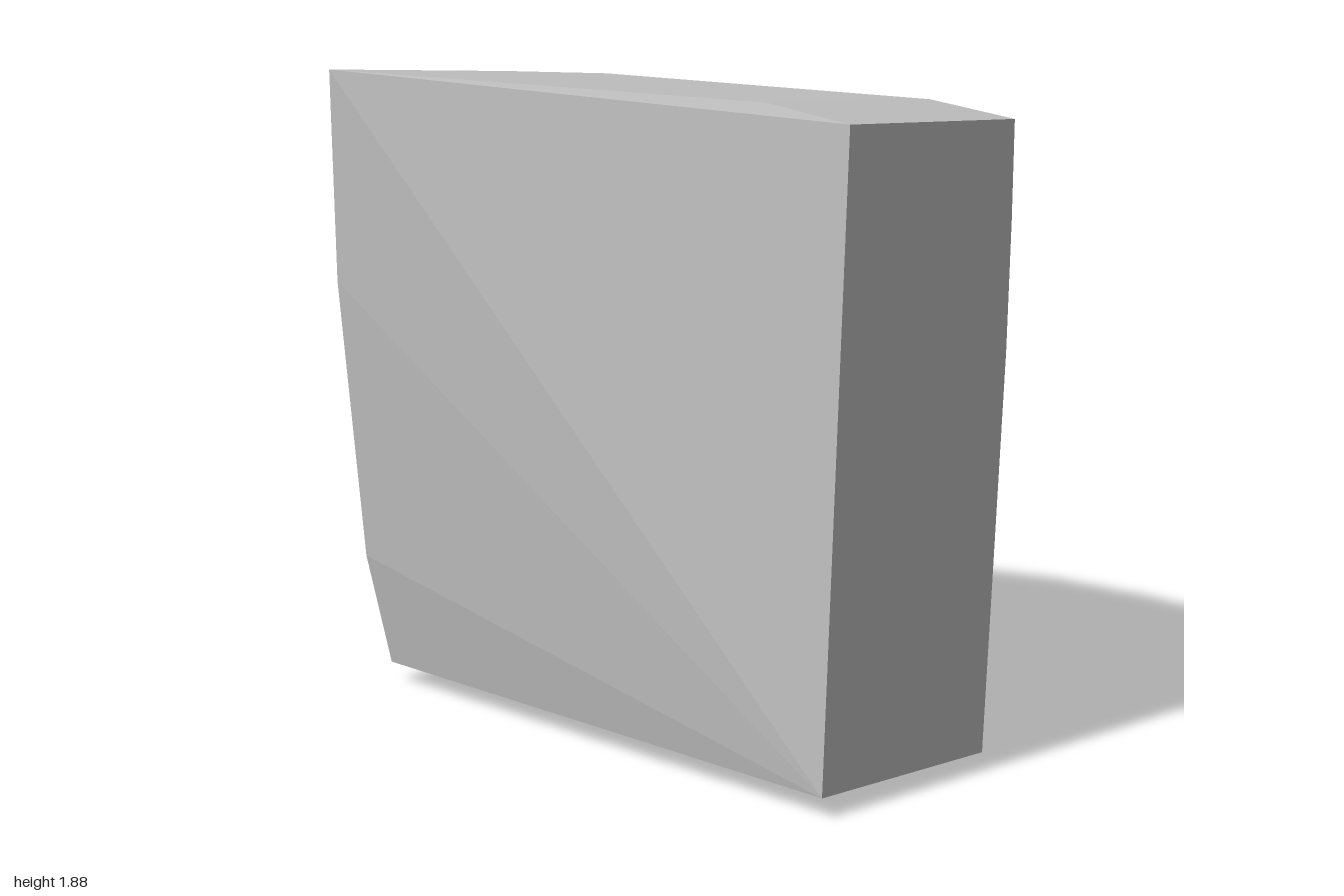
import * as THREE from 'three';
import { ConvexGeometry } from 'three/addons/geometries/ConvexGeometry.js';

export function createModel() {
  const group = new THREE.Group();
  group.name = 'stoneBlock';
  const stone = new THREE.MeshStandardMaterial({ color: 0xc0c0c0 });
  stone.name = 'stone grey';

  const v = (x, y, z) => new THREE.Vector3(x, y, z);

  // Left side: a bent front edge, repeated across the block's depth
  const depth = v(0.38, -0.06, -0.65);
  const leftFront = [v(-1, 1.88, -0.07), v(-1, 1.25, -0.11), v(-0.945, 0.4, -0.17), v(-0.88, 0.06, -0.2)];
  const leftBack = leftFront.map((p) => p.clone().add(depth));

  // Right side: a flat slab end
  const rightEnd = [v(0.57, 0.06, 0.85), v(0.62, 1.85, 0.82), v(0.95, 0, 0.2), v(1, 1.8, 0.17)];

  // Top: a shallow crown and the curved rear rim
  const top = [
    v(0.36, 1.868, 0.5), v(0.74, 1.815, -0.16), v(0.45, 1.785, -0.42),
    v(0.14, 1.8, -0.58), v(-0.3, 1.82, -0.7),
  ];

  // Rear right corner: two rows of chipped facets
  const corner = [
    v(0.99, 1.5, 0.03), v(0.79, 1.5, -0.17), v(0.49, 1.5, -0.49),
    v(0.98, 1.12, -0.02), v(0.81, 1.09, -0.24), v(0.52, 1.13, -0.505),
  ];

  // Slight bow of the rear bottom edge
  const base = [v(0.04, 0.005, -0.47), v(-0.29, 0.003, -0.71)];

  const block = new THREE.Mesh(
    new ConvexGeometry([...leftFront, ...leftBack, ...rightEnd, ...top, ...corner, ...base]), stone);
  block.name = 'block';
  group.add(block);
  return group;
}
